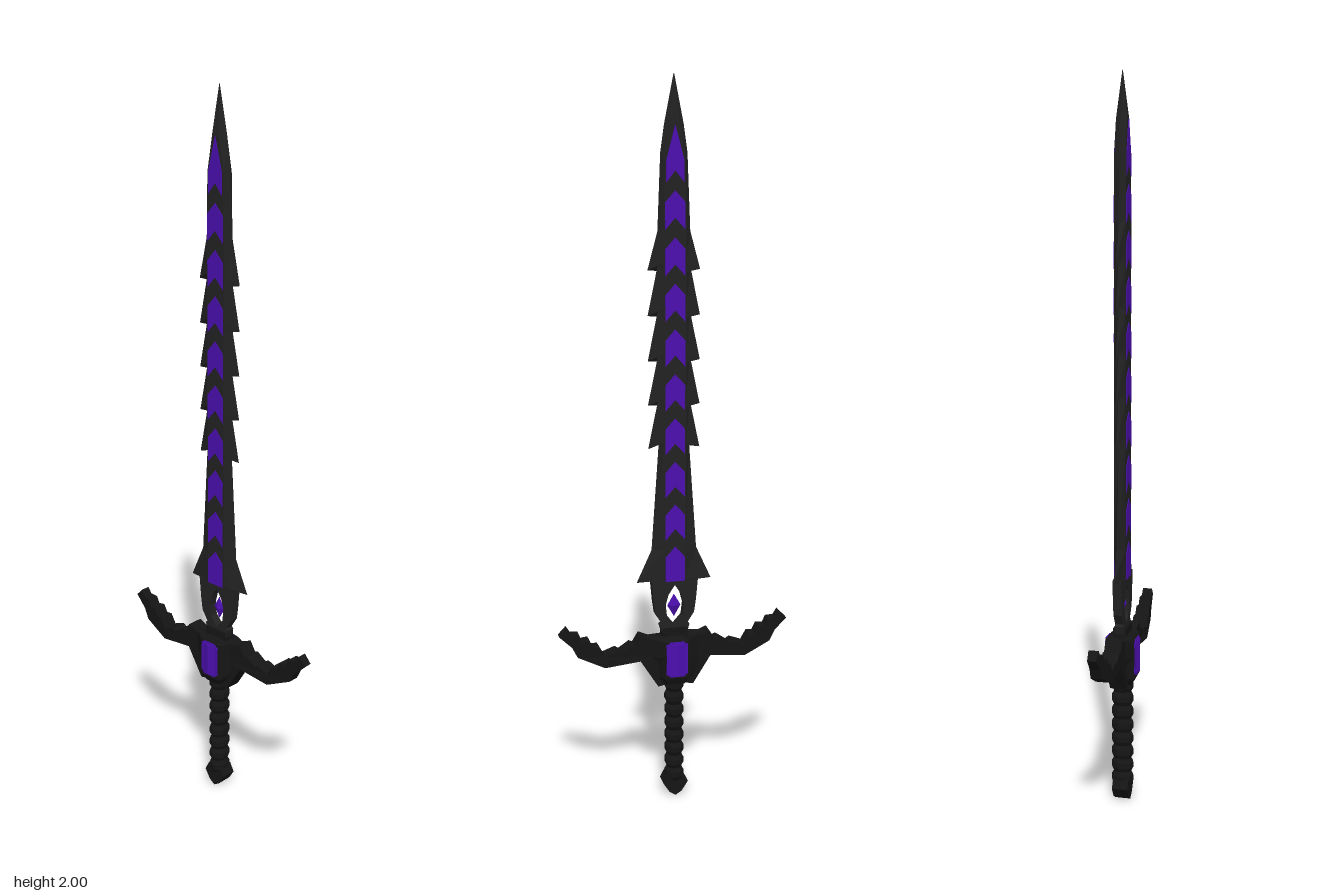
import * as THREE from 'three';

const material = (color) => new THREE.MeshStandardMaterial({ color, flatShading: true, roughness: 0.8 });
const steel = material(0x222222);
const iron = material(0x151515);
const violet = material(0x4b0fae);

function add(group, name, geometry, mat) {
  const mesh = new THREE.Mesh(geometry, mat);
  mesh.name = name;
  group.add(mesh);
  return mesh;
}

// Six-sided loft; each row is [edge half width, edge y, ridge half width, ridge y, half thickness].
function loft(rows) {
  const rings = rows.map(([w, ye, r, yr, t]) => [
    [w, ye, 0], [r, yr, t], [-r, yr, t], [-w, ye, 0], [-r, yr, -t], [r, yr, -t],
  ]);
  const pos = [];
  const tri = (a, b, c) => pos.push(...a, ...b, ...c);
  for (let k = 0; k < rings.length - 1; k++) {
    for (let i = 0; i < 6; i++) {
      const j = (i + 1) % 6;
      const a = rings[k], b = rings[k + 1];
      tri(a[i], b[i], a[j]);
      tri(b[i], b[j], a[j]);
    }
  }
  const bottom = rings[0], top = rings[rings.length - 1];
  const mid = (ring) => [0, ring[1][1], 0];
  for (let i = 0; i < 6; i++) {
    const j = (i + 1) % 6;
    tri(mid(bottom), bottom[i], bottom[j]);
    tri(mid(top), top[j], top[i]);
  }
  const geometry = new THREE.BufferGeometry();
  geometry.setAttribute('position', new THREE.Float32BufferAttribute(pos, 3));
  geometry.computeVertexNormals();
  return geometry;
}

// Closed symmetric outline from its right half, listed bottom to top.
function mirrored(half) {
  const left = half.filter(([x]) => x > 0).map(([x, y]) => [-x, y]).reverse();
  return [...half, ...left].map(([x, y]) => new THREE.Vector2(x, y));
}

function plate(shape, halfDepth) {
  const geometry = new THREE.ExtrudeGeometry(shape, { depth: halfDepth * 2, bevelEnabled: false });
  return geometry.translate(0, 0, -halfDepth);
}

function buildBlade() {
  const blade = new THREE.Group();
  blade.name = 'blade';

  // Barbed body: flared base, five swept teeth, long point
  const rows = [
    [0.05, 0.65, 0.03, 0.645, 0.015],
    [0.105, 0.643, 0.03, 0.65, 0.016],
    [0.063, 0.735, 0.03, 0.735, 0.016],
    [0.042, 1.035, 0.03, 1.03, 0.016],
  ];
  for (let i = 0; i < 5; i++) {
    const y = 1.02 + i * 0.12;
    rows.push([0.071, y, 0.03, y + 0.02, 0.016]);
    rows.push([0.044, y + (i < 4 ? 0.13 : 0.1), 0.03, y + 0.115, 0.016]);
  }
  rows.push([0.036, 1.8, 0.027, 1.78, 0.016], [0.026, 1.87, 0.012, 1.87, 0.015], [0.001, 1.995, 0.0005, 1.995, 0.0005]);
  add(blade, 'bladeBody', loft(rows), steel);

  // Glowing chevron inlays, showing on both faces
  for (let i = 0; i < 10; i++) {
    const y = 0.645 + i * 0.12;
    const last = i === 9;
    const w = last ? 0.024 : 0.027;
    const outline = mirrored([
      [0, y + (i ? 0.03 : 0)], [w, y], [w, y + (last ? 0.055 : 0.07)], [0, y + (last ? 0.145 : 0.1)],
    ]);
    add(blade, 'inlay' + (i + 1), plate(new THREE.Shape(outline), 0.0175), violet);
  }
  return blade;
}

function buildNeck() {
  const neck = new THREE.Group();
  neck.name = 'neck';

  // Open eye between blade and guard
  const shape = new THREE.Shape(mirrored([
    [0, 0.45], [0.032, 0.45], [0.032, 0.48], [0.042, 0.515], [0.036, 0.52],
    [0.055, 0.55], [0.06, 0.585], [0.066, 0.65], [0, 0.66],
  ]));
  shape.holes.push(new THREE.Path(mirrored([
    [0, 0.515], [0.022, 0.54], [0.026, 0.575], [0.018, 0.605], [0, 0.632],
  ]).reverse()));
  add(neck, 'eyeFrame', plate(shape, 0.012), steel);
  add(neck, 'collar', new THREE.BoxGeometry(0.07, 0.06, 0.036).translate(0, 0.478, 0), iron);

  // Floating gem in the eye
  const gem = add(neck, 'eyeGem', new THREE.OctahedronGeometry(1, 0), violet);
  gem.scale.set(0.019, 0.033, 0.011);
  gem.position.y = 0.57;
  return neck;
}

function buildGuard() {
  const guard = new THREE.Group();
  guard.name = 'guard';

  // Winged arms with stepped tops, thinning towards the tips
  const outline = mirrored([
    [0, 0.35], [0.05, 0.34], [0.1, 0.42], [0.2, 0.41], [0.275, 0.445], [0.29, 0.475], [0.325, 0.508],
    [0.303, 0.53], [0.292, 0.512], [0.27, 0.51], [0.262, 0.49], [0.242, 0.492], [0.232, 0.47],
    [0.215, 0.47], [0.2, 0.442], [0.165, 0.455], [0.155, 0.448], [0.125, 0.468], [0.115, 0.464],
    [0.098, 0.492], [0.035, 0.465], [0, 0.465],
  ]);
  const arms = plate(new THREE.Shape(outline), 0.023);
  const p = arms.attributes.position;
  for (let i = 0; i < p.count; i++) {
    const t = Math.max(0, (Math.abs(p.getX(i)) - 0.2) / 0.125);
    p.setZ(i, p.getZ(i) * (1 - 0.5 * t));
  }
  arms.computeVertexNormals();
  add(guard, 'guardArms', arms, iron);

  // Raised hub
  add(guard, 'hub', loft([
    [0.045, 0.34, 0.022, 0.345, 0.03],
    [0.07, 0.375, 0.033, 0.365, 0.04],
    [0.104, 0.43, 0.033, 0.43, 0.041],
    [0.1, 0.488, 0.033, 0.475, 0.04],
    [0.05, 0.475, 0.024, 0.487, 0.026],
  ]), iron);

  // Ridged gem passing through the hub
  add(guard, 'hubGem', loft([
    [0.02, 0.372, 0.02, 0.372, 0.043],
    [0.032, 0.385, 0.03, 0.385, 0.043],
    [0.032, 0.462, 0.03, 0.462, 0.043],
    [0.02, 0.475, 0.02, 0.475, 0.043],
  ]), violet);
  for (const side of [1, -1]) {
    const ridge = new THREE.Shape([[-0.032, 0.04], [0.032, 0.04], [0, 0.049]].map(([x, z]) => new THREE.Vector2(x, z)));
    const geometry = new THREE.ExtrudeGeometry(ridge, { depth: 0.09, bevelEnabled: false });
    geometry.rotateX(Math.PI / 2).translate(0, 0.469, 0);
    if (side < 0) geometry.rotateY(Math.PI);
    add(guard, side > 0 ? 'frontGemRidge' : 'backGemRidge', geometry, violet);
  }
  return guard;
}

function buildHandle() {
  const handle = new THREE.Group();
  handle.name = 'handle';

  // Ribbed grip
  const profile = [[0, 0.04]];
  const ribs = 8;
  for (let i = 0; i < ribs; i++) {
    const y = 0.045 + i * 0.039;
    profile.push([0.021, y], [0.027, y + 0.012], [0.027, y + 0.027]);
  }
  profile.push([0.021, 0.357], [0, 0.357]);
  const grip = add(handle, 'grip', new THREE.LatheGeometry(profile.map(([x, y]) => new THREE.Vector2(x, y)), 10), iron);
  grip.scale.z = 1.15;

  // Pointed pommel
  add(handle, 'pommel', plate(new THREE.Shape(mirrored([
    [0, 0], [0.018, 0.012], [0.036, 0.04], [0.022, 0.066], [0, 0.066],
  ])), 0.022), iron);
  return handle;
}

export function createModel() {
  const model = new THREE.Group();
  model.name = 'sword';
  model.add(buildBlade(), buildNeck(), buildGuard(), buildHandle());
  return model;
}
